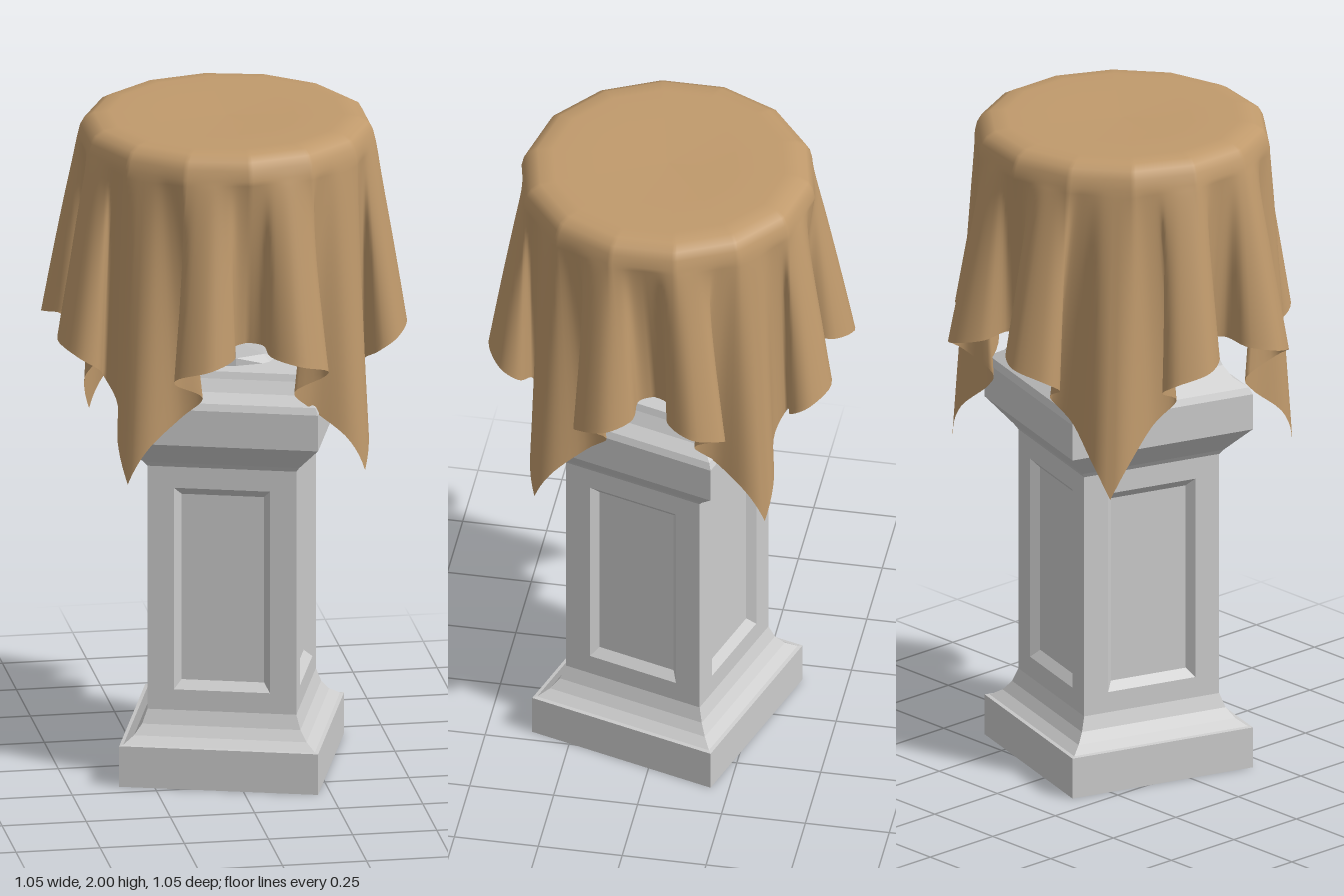
import * as THREE from 'three';

const stone = new THREE.MeshStandardMaterial({ color: 0xcccccc, flatShading: true, side: THREE.DoubleSide });
const fabric = new THREE.MeshStandardMaterial({ color: 0xc09a6c, side: THREE.DoubleSide });

function part(name, geometry, material) {
  const mesh = new THREE.Mesh(geometry, material);
  mesh.name = name;
  return mesh;
}

function indexedGeometry(pos, index) {
  const geo = new THREE.BufferGeometry();
  geo.setAttribute('position', new THREE.Float32BufferAttribute(pos, 3));
  geo.setIndex(index);
  geo.computeVertexNormals();
  return geo;
}

// Square moulding: profile of [half width, height], turned with four sides
function squareMoulding(profile) {
  const pts = profile.map(([h, y]) => new THREE.Vector2(h * Math.SQRT2, y));
  return new THREE.LatheGeometry(pts, 4, Math.PI / 4);
}

// One shaft side: nested rectangles of [half width, bottom, top, depth], last one filled
function panelSide(rings) {
  const pos = [], index = [];
  rings.forEach(([h, b, t, z]) => pos.push(-h, b, z, h, b, z, h, t, z, -h, t, z));
  for (let r = 0; r < rings.length - 1; r++) {
    for (let i = 0; i < 4; i++) {
      const a = r * 4 + i, b = r * 4 + (i + 1) % 4;
      index.push(a, b, b + 4, a, b + 4, a + 4);
    }
  }
  const k = (rings.length - 1) * 4;
  index.push(k, k + 1, k + 2, k, k + 2, k + 3);
  return indexedGeometry(pos, index);
}

function createPedestal() {
  const g = new THREE.Group();
  g.name = 'pedestal';
  g.add(part('plinth', squareMoulding([
    [0, 0], [0.294, 0], [0.294, 0.125], [0.283, 0.127], [0.255, 0.148], [0.234, 0.178], [0.22, 0.22],
  ]), stone));
  for (let i = 0; i < 4; i++) {
    const side = part('shaftPanel', panelSide([
      [0.22, 0.22, 0.97, 0.22], [0.142, 0.283, 0.905, 0.22], [0.122, 0.308, 0.88, 0.197],
    ]), stone);
    side.rotation.y = i * Math.PI / 2;
    g.add(side);
  }
  g.add(part('capital', squareMoulding([
    [0.22, 0.97], [0.23, 0.985], [0.285, 1.05], [0.294, 1.06], [0.294, 1.17], [0.285, 1.19],
    [0.25, 1.215], [0.228, 1.25], [0.22, 1.27], [0, 1.27],
  ]), stone));
  g.rotation.y = -0.295;
  g.position.x = 0.015;
  return g;
}

// Rough-hewn support that widens under the cloth
function createSupport() {
  const profile = [[0.18, 1.25], [0.165, 1.3], [0.145, 1.335], [0.1, 1.37], [0.08, 1.41],
    [0.1, 1.46], [0.3, 1.56], [0.36, 1.7], [0.37, 1.95], [0, 1.97]];
  const geo = new THREE.LatheGeometry(profile.map(([r, y]) => new THREE.Vector2(r, y)), 10);
  const p = geo.attributes.position;
  for (let i = 0; i < p.count; i++) {
    const x = p.getX(i), y = p.getY(i), z = p.getZ(i), a = Math.atan2(z, x);
    if (y > 1.5) continue;
    const k = 1 + 0.08 * Math.sin(3 * a + y * 40);
    p.setXYZ(i, x * k, y + 0.012 * Math.sin(2 * a + y * 60), z * k);
  }
  geo.computeVertexNormals();
  return part('support', geo, stone);
}

// Square cloth over a round top, hanging from the rim to a folded hem
function createCloth() {
  const N = 336, ROWS = 36, HALF = 1.03, RIM = 0.432, QUARTER = Math.PI / 2;
  const shoulder = [[0.004, 1.992], [0.2, 1.995], [0.34, 1.998], [0.385, 1.993], [0.412, 1.978], [0.425, 1.955], [RIM, 1.925]];
  // hem seen from above, from the middle of an edge to just past a corner of the cloth
  const hem = new THREE.SplineCurve([
    [0, 0.37], [0.045, 0.395], [0.055, 0.475], [0.135, 0.52], [0.22, 0.475],
    [0.22, 0.415], [0.135, 0.385], [0.195, 0.355], [0.295, 0.372], [0.352, 0.352], [0.372, 0.295],
  ].map(([x, z]) => new THREE.Vector2(x, z)));
  const pos = [], index = [];
  const step = Math.PI / 7;
  for (let row = 0; row < shoulder.length + ROWS; row++) {
    for (let i = 0; i < N; i++) {
      const a = (i / N) * Math.PI * 2;
      // faceted rim
      const facet = Math.cos(step / 2) / Math.cos((a % step) - step / 2);
      const [sr, sy] = shoulder[Math.min(row, shoulder.length - 1)];
      const rim = sr * 1.012 * (1 + (facet - 1) * Math.min(1, sr / 0.35));
      let x = rim * Math.sin(a), z = rim * Math.cos(a), y = sy;
      if (row >= shoulder.length) {
        const v = (row - shoulder.length + 1) / ROWS;
        const off = ((a + QUARTER / 2) % QUARTER) - QUARTER / 2;
        y -= v * ((HALF / Math.cos(off) - 0.43) * 0.99 - 0.075);
        const h = hem.getPoint(0.9 * Math.min(1, Math.abs(off) / (QUARTER / 2)));
        // slight unevenness: folds lean to the back right, hem reaches out at the back left
        const d = a - 0.75 * Math.PI;
        const lean = -0.13 * Math.sin(d) * (0.5 + 0.5 * Math.cos(d)) ** 2;
        const theta = a - off + Math.sign(off) * Math.atan2(h.x, h.y) + lean;
        const r = h.length() * (1 + 0.02 * Math.cos(a + 0.75 * Math.PI));
        const f = Math.pow(v, 0.9);
        x += (r * Math.sin(theta) - x) * f;
        z += (r * Math.cos(theta) - z) * f;
      }
      pos.push(x, y, z);
    }
  }
  for (let row = 0; row < shoulder.length + ROWS - 1; row++) {
    for (let i = 0; i < N; i++) {
      const a = row * N + i, b = row * N + (i + 1) % N;
      index.push(a, a + N, b, b, a + N, b + N);
    }
  }
  // close the middle of the top
  const centre = pos.length / 3;
  pos.push(0, 1.992, 0);
  for (let i = 0; i < N; i++) index.push(centre, i, (i + 1) % N);
  return part('drapedCloth', indexedGeometry(pos, index), fabric);
}

export function createModel() {
  const model = new THREE.Group();
  model.name = 'drapedPedestal';
  model.add(createPedestal(), createSupport(), createCloth());
  return model;
}
